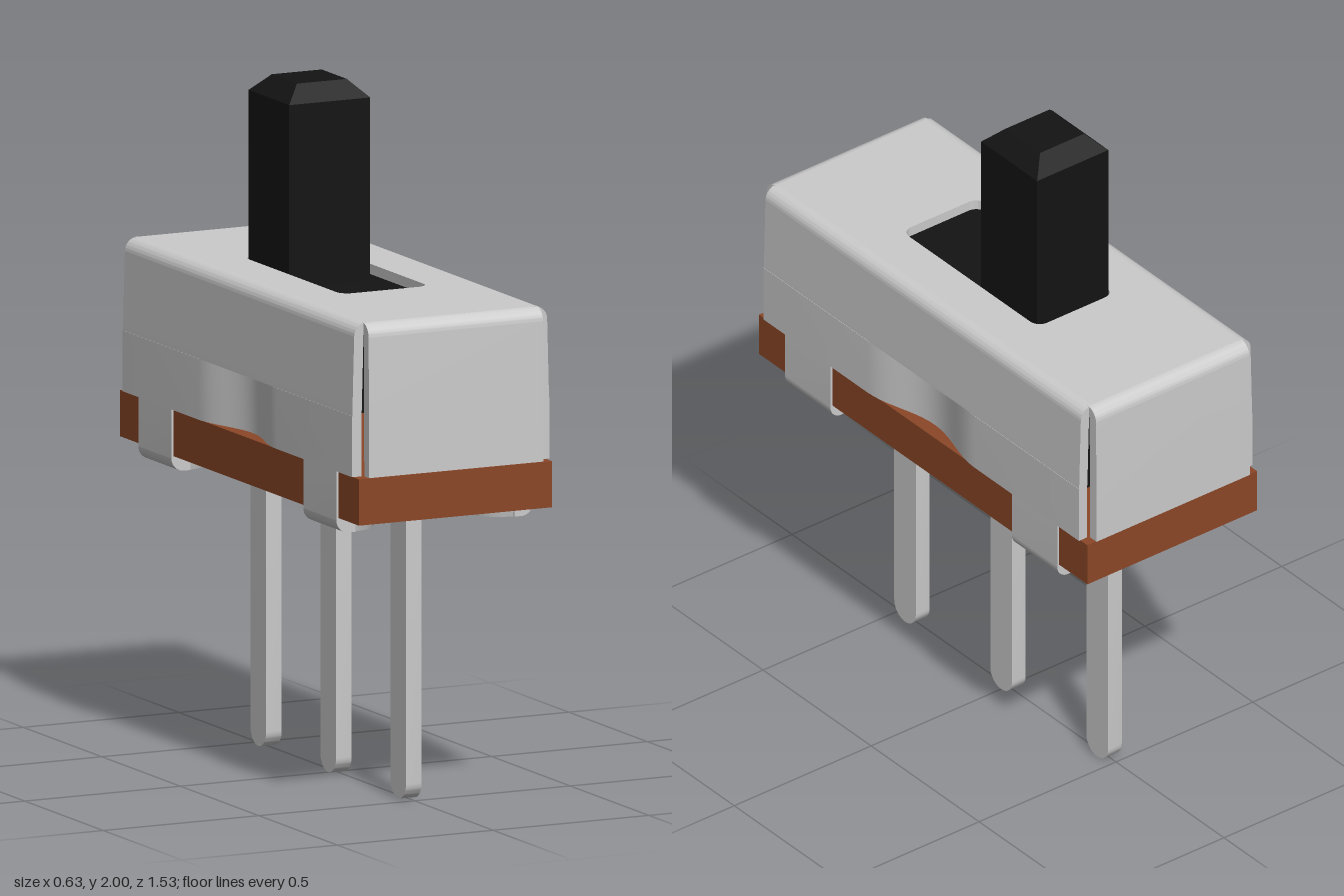
import * as THREE from 'three';
import { toCreasedNormals } from 'three/addons/utils/BufferGeometryUtils.js';

const metal = new THREE.MeshStandardMaterial({ color: 0xcccccc });
const brown = new THREE.MeshStandardMaterial({ color: 0x8c4727 });
const black = new THREE.MeshStandardMaterial({ color: 0x141414 });
const T = 0.03; // sheet thickness

function add(parent, name, geometry, material = metal) {
  const mesh = new THREE.Mesh(geometry, material);
  mesh.name = name;
  parent.add(mesh);
  return mesh;
}

// Extrude a shape along z, centred
function extrude(shape, depth) {
  const g = new THREE.ExtrudeGeometry(shape, { depth, bevelEnabled: false, curveSegments: 10 });
  g.translate(0, 0, -depth / 2);
  return toCreasedNormals(g, 0.6);
}

// Extrude a plan outline upward from y = bottom
function slab(shape, bottom, height) {
  return extrude(shape, height).rotateX(-Math.PI / 2).translate(0, bottom + height / 2, 0);
}

function roundedRect(Type, w, h, r) {
  const s = new Type();
  s.absarc(w - r, h - r, r, 0, Math.PI / 2);
  s.absarc(r - w, h - r, r, Math.PI / 2, Math.PI);
  s.absarc(r - w, r - h, r, Math.PI, Math.PI * 1.5);
  s.absarc(w - r, r - h, r, Math.PI * 1.5, Math.PI * 2);
  s.closePath();
  return s;
}

// Section of a sheet bent down from the top plate into a wall
function bentWall(x, bottom, flare) {
  const s = new THREE.Shape();
  s.moveTo(x - 0.04, 1.46);
  s.absarc(x - 0.04, 1.42, 0.04, Math.PI / 2, 0, true);
  s.lineTo(x + flare, bottom);
  s.lineTo(x + flare - T, bottom);
  s.absarc(x - 0.04, 1.42, 0.01, 0, Math.PI / 2, false);
  s.closePath();
  return s;
}

// Plan of the lower side wall, pressed inward at its middle
function dentedWall() {
  const outer = [];
  for (let i = 0; i <= 20; i++) {
    const z = -0.25 + i * 0.025;
    outer.push([0.317 - 0.024 * (1 + Math.cos(Math.PI * z / 0.25)), z]);
  }
  outer.unshift([0.317, -0.73]);
  outer.push([0.317, 0.73]);
  const inner = outer.map(([x, z]) => [x - T, z]).reverse();
  return new THREE.Shape([...outer, ...inner].map(([x, z]) => new THREE.Vector2(x, z)));
}

// Section of a tab that hooks under the board
function tabSection() {
  const s = new THREE.Shape();
  s.moveTo(0.317, 1.02);
  s.lineTo(0.317, 0.87);
  s.absarc(0.277, 0.87, 0.04, 0, -Math.PI / 2, true);
  s.lineTo(0.255, 0.83);
  s.lineTo(0.255, 0.86);
  s.absarc(0.277, 0.87, 0.01, -Math.PI / 2, 0, false);
  s.lineTo(0.287, 1.02);
  s.closePath();
  return s;
}

// Flat pin with rounded tip and small shoulders under the board
function pinShape() {
  const s = new THREE.Shape();
  s.moveTo(0.05, 0.05);
  s.lineTo(0.05, 0.845);
  s.lineTo(0.09, 0.862);
  s.lineTo(0.09, 0.9);
  s.lineTo(-0.09, 0.9);
  s.lineTo(-0.09, 0.862);
  s.lineTo(-0.05, 0.845);
  s.lineTo(-0.05, 0.05);
  s.absarc(0, 0.05, 0.05, Math.PI, Math.PI * 2, false);
  return s;
}

export function createModel() {
  const model = new THREE.Group();
  model.name = 'slideSwitch';

  // Base board
  add(model, 'baseBoard', new THREE.BoxGeometry(0.62, 0.135, 1.52).translate(0, 0.9425, 0), brown);

  // Sheet metal housing
  const housing = new THREE.Group();
  housing.name = 'housing';
  model.add(housing);

  const plate = new THREE.Shape();
  plate.moveTo(-0.27, -0.725);
  plate.lineTo(0.27, -0.725);
  plate.lineTo(0.27, 0.725);
  plate.lineTo(-0.27, 0.725);
  plate.closePath();
  plate.holes.push(roundedRect(THREE.Path, 0.14, 0.315, 0.035));
  add(housing, 'topPlate', slab(plate, 1.46 - T, T));

  for (const [side, turn] of [['left', 0], ['right', Math.PI]]) {
    const wall = new THREE.Group();
    wall.name = side + 'Side';
    wall.rotation.y = turn;
    housing.add(wall);
    add(wall, 'upperWall', extrude(bentWall(0.31, 1.19, 0.006), 1.46));
    add(wall, 'dentedLowerWall', slab(dentedWall(), 1.012, 0.178));
    for (const z of [-0.525, 0.525]) {
      add(wall, 'tab', extrude(tabSection(), 0.21).translate(0, 0, z));
      add(wall, 'tabTip', new THREE.CylinderGeometry(0.105, 0.098, T, 20, 1, false, Math.PI, Math.PI)
        .translate(0.255, 0.845, z));
    }
  }

  for (const [name, turn] of [['frontWall', -1], ['backWall', 1]]) {
    const wall = add(housing, name, extrude(bentWall(0.763, 1.012, 0.002), 0.56));
    wall.rotation.y = turn * Math.PI / 2;
  }

  // Slider: carriage below the slot and chamfered knob
  const slider = new THREE.Group();
  slider.name = 'slider';
  model.add(slider);
  add(slider, 'carriage', new THREE.BoxGeometry(0.48, 0.3, 1.0).translate(0, 1.265, -0.15), black);
  add(slider, 'knob', new THREE.BoxGeometry(0.26, 0.6, 0.26).translate(0, 1.65, -0.17), black);
  const cap = new THREE.CylinderGeometry(0.08 * Math.SQRT2, 0.13 * Math.SQRT2, 0.05, 4, 1);
  cap.rotateY(Math.PI / 4).translate(0, 1.975, -0.17);
  add(slider, 'knobChamfer', toCreasedNormals(cap, 0.3), black);

  // Three terminal pins
  for (const z of [-0.445, 0, 0.445]) {
    const pin = add(model, 'pin', extrude(pinShape(), 0.05));
    pin.rotation.y = Math.PI / 2;
    pin.position.z = z;
  }
  return model;
}
